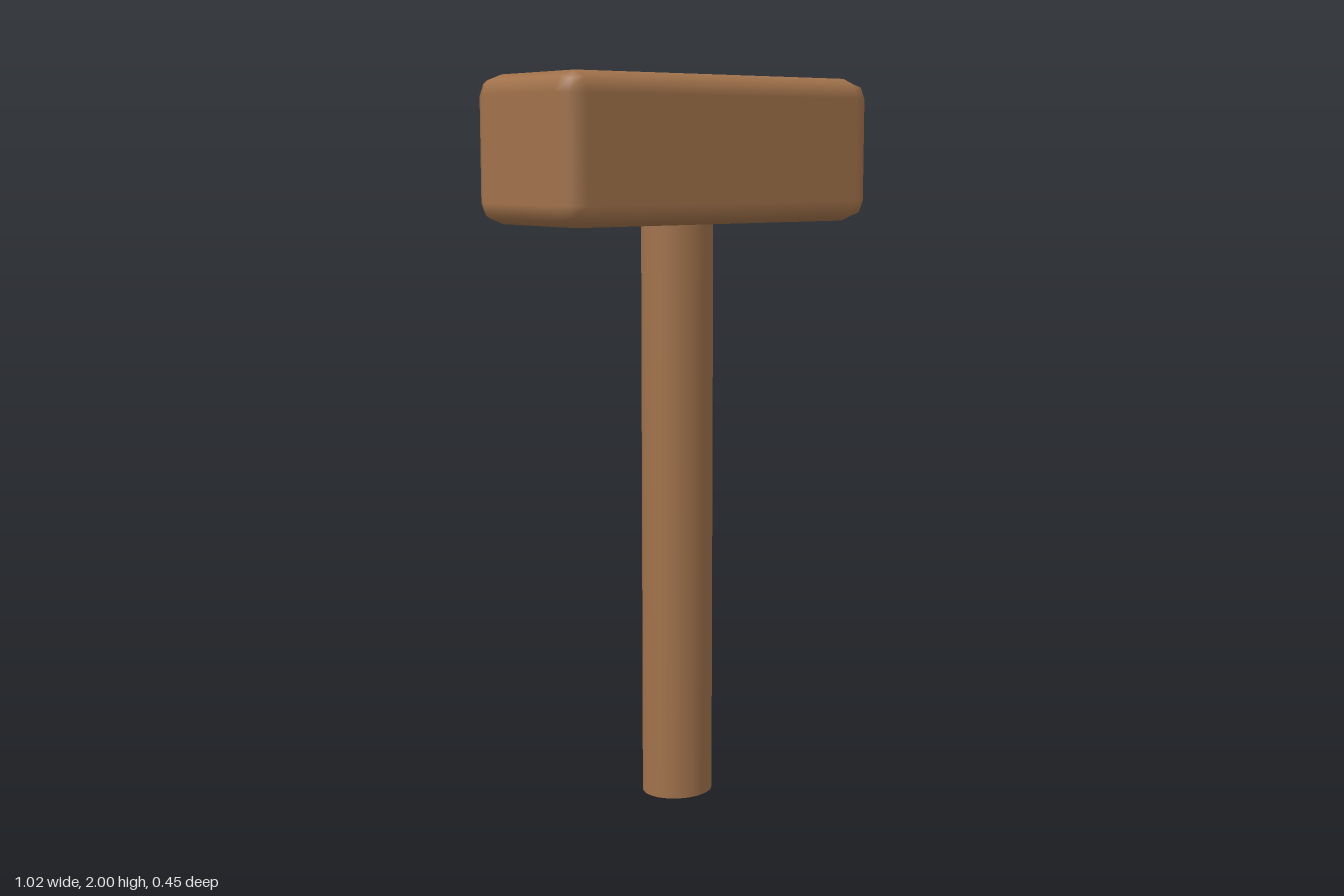
import * as THREE from 'three';
import { RoundedBoxGeometry } from 'three/addons/geometries/RoundedBoxGeometry.js';

export function createModel() {
  const group = new THREE.Group();
  group.name = 'mallet';
  const wood = new THREE.MeshStandardMaterial({ color: 0xa1724b });
  wood.name = 'brown wood';

  // The whole mallet is slightly wider in x than in z
  const stretch = 1.11;

  // Block head with softly rounded edges
  const bottom = 1.61, top = 2;
  const head = new THREE.Mesh(
    new RoundedBoxGeometry(1.024 / stretch, top - bottom, 0.452, 1, 0.056), wood);
  head.name = 'head';
  head.scale.x = stretch;
  head.position.y = (top + bottom) / 2;

  // Round handle, let a little way into the head
  const length = bottom + 0.06;
  const handle = new THREE.Mesh(
    new THREE.CylinderGeometry(0.092, 0.092, length, 32), wood);
  handle.name = 'handle';
  handle.scale.x = stretch;
  handle.position.y = length / 2;

  group.add(head, handle);
  return group;
}
